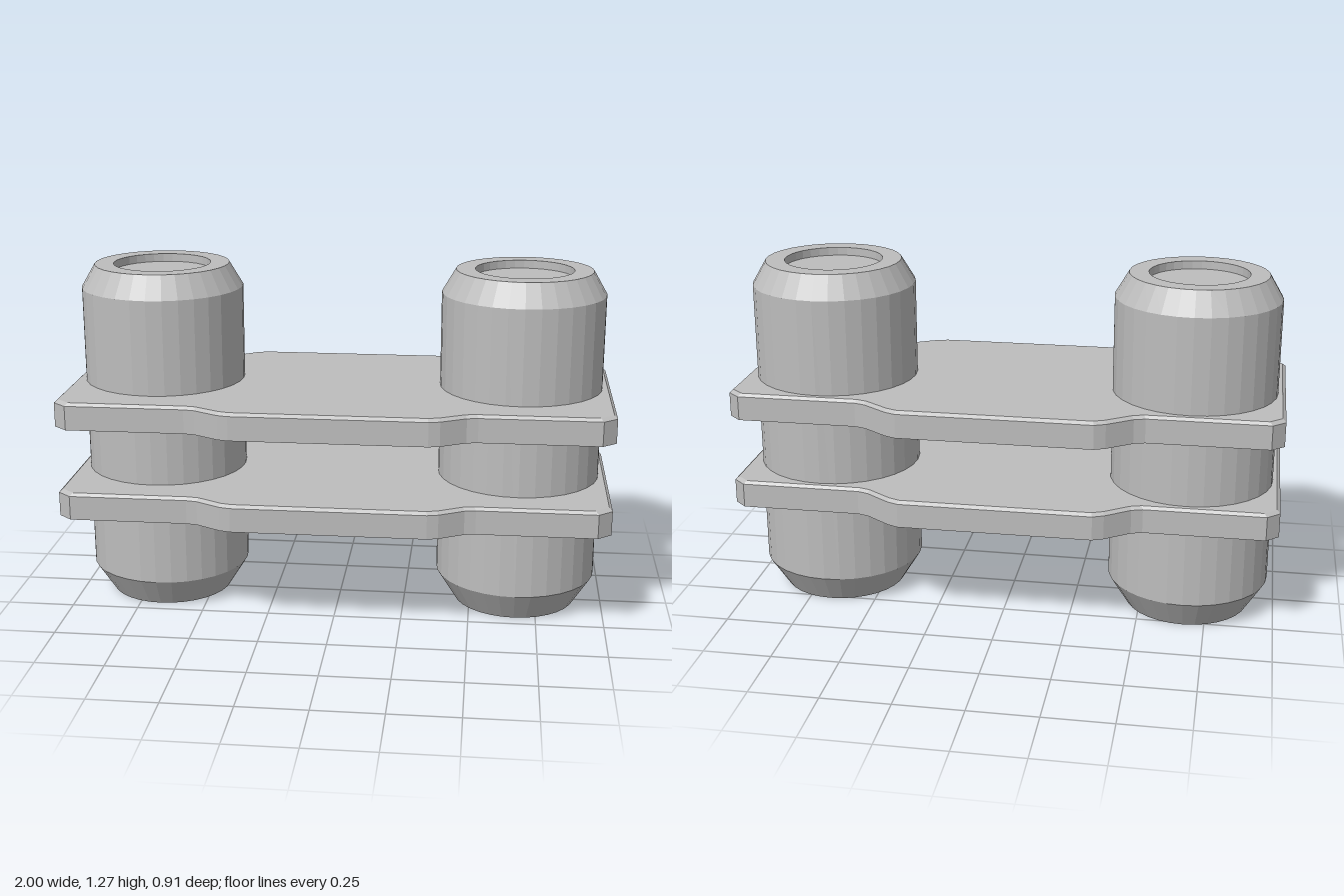
import * as THREE from 'three';

const grey = new THREE.MeshStandardMaterial({ color: 0xbdbdbd, flatShading: true });
grey.name = 'grey metal';

// Half outline of a link plate (x, z), front left round to back left
const halfOutline = [
  [0.35, 0.455], [0.39, 0.445], [0.48, 0.395], [0.52, 0.388], [0.95, 0.388], [1, 0.345],
  [1, -0.32], [0.955, -0.362], [0.52, -0.362], [0.48, -0.375], [0.39, -0.44], [0.35, -0.457],
];

function plateGeometry(height, bevel) {
  const mirrored = halfOutline.map(([x, z]) => [-x, z]).reverse();
  const points = [...halfOutline, ...mirrored].map(([x, z]) => new THREE.Vector2(x, -z));
  const geo = new THREE.ExtrudeGeometry(new THREE.Shape(points), { depth: 1, steps: 2, bevelEnabled: false });
  geo.rotateX(-Math.PI / 2);
  // Middle layer becomes the bevel's lower edge, top layer is drawn inwards
  const p = geo.attributes.position;
  for (let i = 0; i < p.count; i++) {
    const y = p.getY(i);
    const top = y > 0.75;
    p.setXYZ(i,
      p.getX(i) * (top ? 0.988 : 1),
      top ? height : y > 0.25 ? height - bevel : 0,
      p.getZ(i) * (top ? 0.972 : 1));
  }
  geo.computeVertexNormals();
  return geo;
}

// Chamfered pin with a shallow round recess in its top
function pinGeometry() {
  const profile = [
    [0, 0], [0.23, 0], [0.3, 0.112], [0.3, 1.19], [0.25, 1.275],
    [0.18, 1.275], [0.18, 1.245], [0, 1.245],
  ].map(([r, y]) => new THREE.Vector2(r, y));
  return new THREE.LatheGeometry(profile, 32);
}

export function createModel() {
  const model = new THREE.Group();
  model.name = 'chainLink';

  const plate = plateGeometry(0.1, 0.011);
  [['lowerPlate', 0.4], ['upperPlate', 0.74]].forEach(([name, y]) => {
    const mesh = new THREE.Mesh(plate, grey);
    mesh.name = name;
    mesh.position.y = y;
    model.add(mesh);
  });

  const pin = pinGeometry();
  [['leftPin', 0.67], ['rightPin', -0.672]].forEach(([name, x]) => {
    const mesh = new THREE.Mesh(pin, grey);
    mesh.name = name;
    mesh.position.set(x, 0, -0.035);
    model.add(mesh);
  });

  return model;
}
